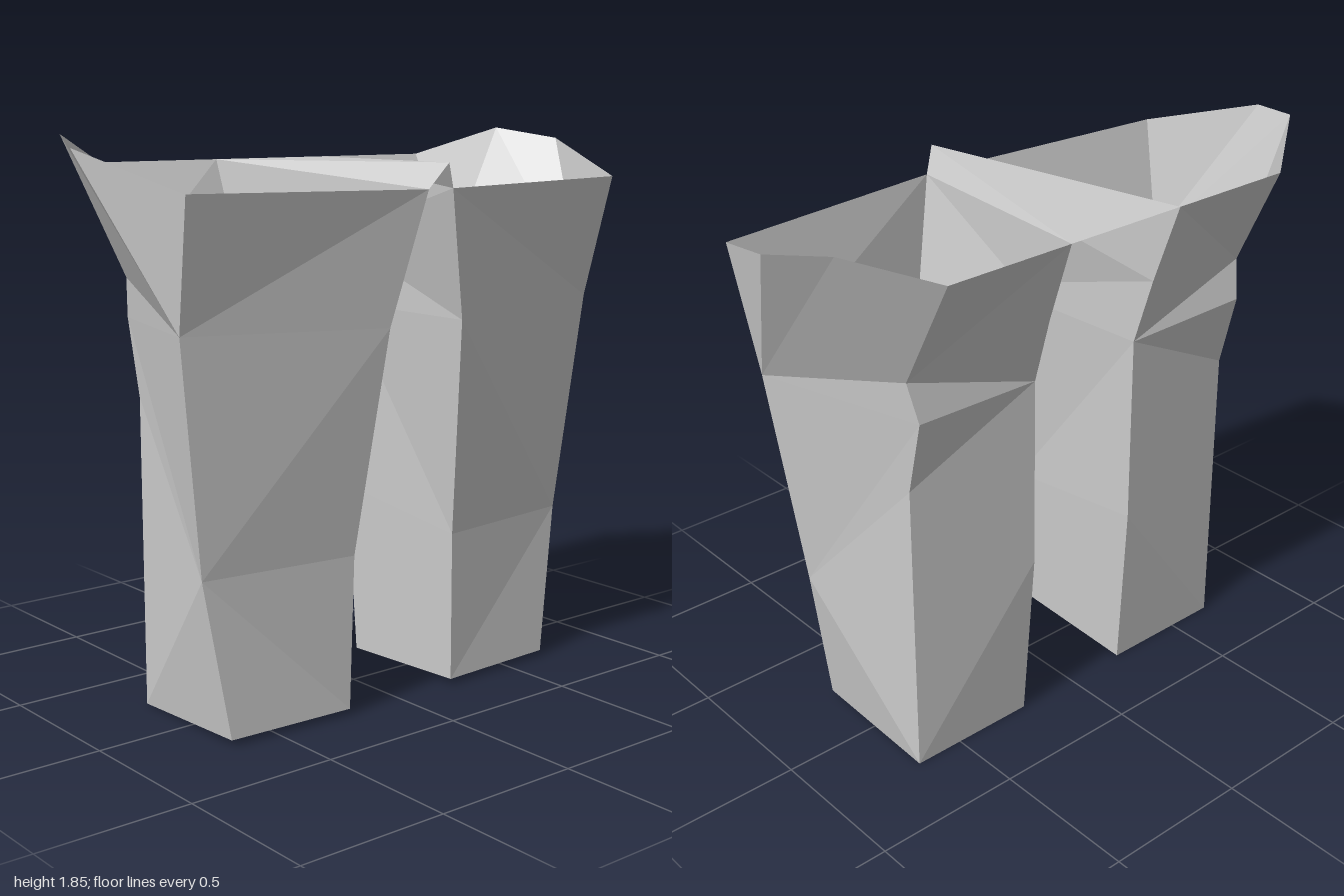
import * as THREE from 'three';

const material = new THREE.MeshStandardMaterial({ color: 0xcccccc, flatShading: true, side: THREE.DoubleSide });

// Corner edges of the left (+x) leg, bottom to top
const outerFront = [[0.67, 0.02, 0.23], [0.75, 0.53, 0.2], [0.84, 1.28, 0.24], [0.87, 1.69, 0.33]];
const innerFront = [[0.22, 0.02, 0.25], [0.21, 0.53, 0.26], [0.15, 1.26, 0.36], [0.05, 1.68, 0.42]];
const outerBack = [[0.67, 0, -0.25], [0.67, 1.02, -0.25], [0.67, 1.27, -0.31], [0.69, 1.4, -0.28], [0.67, 1.75, -0.455]];
const innerBack = [[0.22, 0, -0.25], [0.21, 0.6, -0.29], [0.21, 1.04, -0.29], [0.21, 1.25, -0.29],
  [0.215, 1.48, -0.36], [0.22, 1.75, -0.455]];
const hipSide = [1, 1.81, -0.065];
const hipBack = [0.91, 1.845, -0.28];

// Triangles between two rising edges, a on the left and b on the right seen from outside
function zip(a, b) {
  const tris = [];
  let i = 0, j = 0;
  while (i < a.length - 1 || j < b.length - 1) {
    const stepA = j === b.length - 1 || (i < a.length - 1 && a[i + 1][1] < b[j + 1][1]);
    tris.push([a[i], b[j], stepA ? a[i + 1] : b[j + 1]]);
    if (stepA) i++; else j++;
  }
  return tris;
}

// Mesh from triangles; side -1 mirrors across x and reverses the corner order
function part(name, tris, side = 1) {
  const points = tris.flatMap(([a, b, c]) => (side > 0 ? [a, b, c] : [a, c, b]))
    .map(([x, y, z]) => new THREE.Vector3(side * x, y, z));
  const geometry = new THREE.BufferGeometry().setFromPoints(points);
  geometry.computeVertexNormals();
  const mesh = new THREE.Mesh(geometry, material);
  mesh.name = name;
  return mesh;
}

function createLeg(side) {
  const leg = new THREE.Group();
  leg.name = side > 0 ? 'leftLeg' : 'rightLeg';
  const knee = outerFront[2], seat = outerBack[3];
  leg.add(
    part('frontPanel', zip(innerFront, outerFront), side),
    part('outerPanel', zip(outerFront.slice(0, 3), outerBack.slice(0, 4)), side),
    part('backPanel', zip(outerBack, innerBack), side),
    part('innerPanel', zip(innerBack, innerFront), side),
    // Flared hip above the outer panel
    part('hipFlare', [
      [knee, seat, hipBack],
      [knee, hipBack, hipSide],
      [knee, hipSide, outerFront[3]],
      [seat, outerBack[4], hipBack],
    ], side),
    part('sole', [
      [innerBack[0], outerBack[0], outerFront[0]],
      [innerBack[0], outerFront[0], innerFront[0]],
    ], side),
  );
  return leg;
}

export function createModel() {
  const model = new THREE.Group();
  model.name = 'trouserLegs';
  model.add(createLeg(1), createLeg(-1));

  // Ridge joining both legs, narrowing to a raised tip at the front
  const mirror = ([x, y, z]) => [-x, y, z];
  const tip = [0, 1.76, 0.455];
  const back = innerBack[5], front = innerFront[3];
  model.add(part('crotchBridge', [
    [mirror(back), tip, back],
    [back, tip, front],
    [mirror(back), mirror(front), tip],
  ]));
  return model;
}
